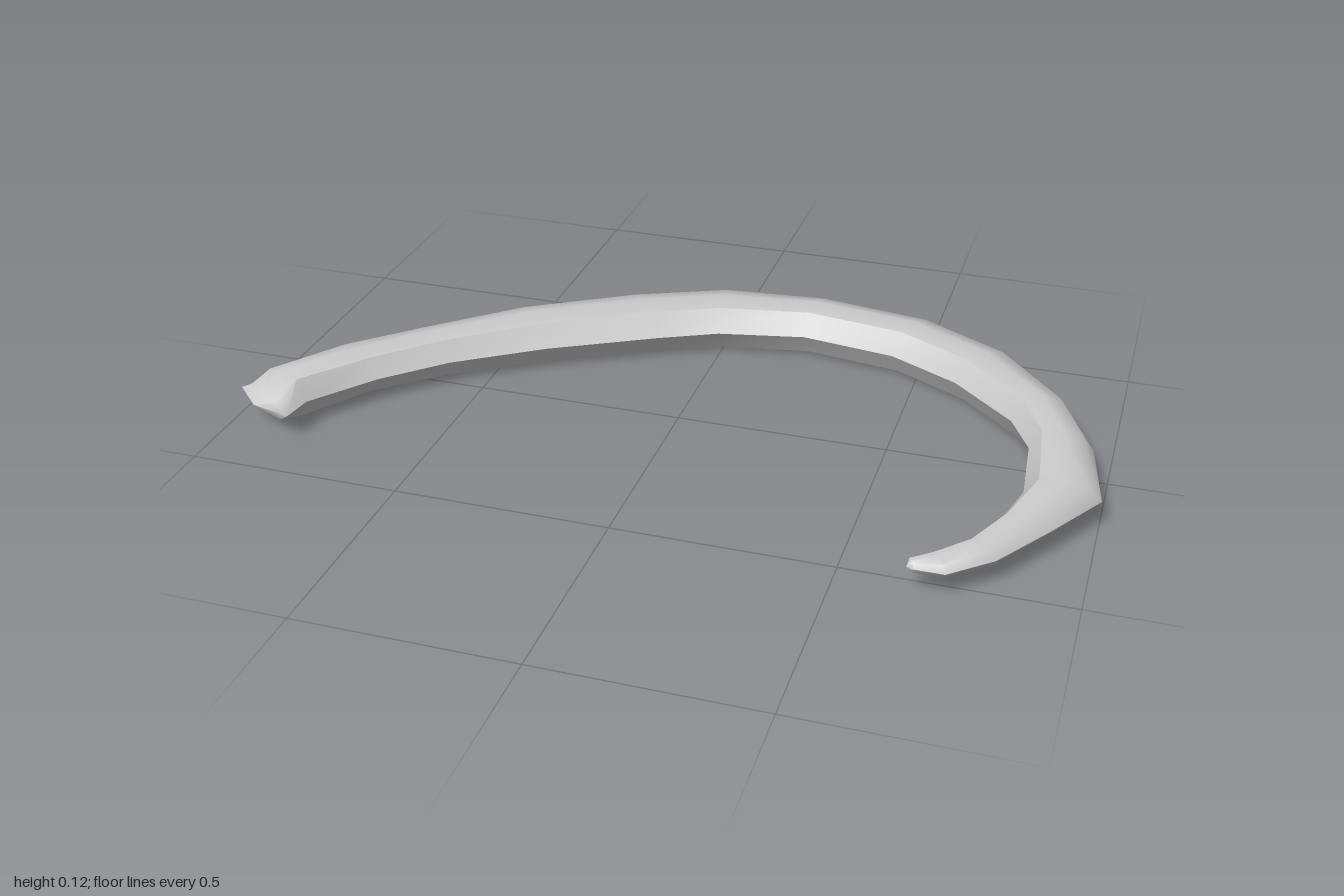
import * as THREE from 'three';
import { toCreasedNormals } from 'three/addons/utils/BufferGeometryUtils.js';

const MID_Y = 0.065;

// Stations along the arc: outer edge x,z, inner edge x,z, half height
const STATIONS = [
  [-1.0, 0.27, -0.83, 0.365, 0.026],
  [-0.97, 0.22, -0.82, 0.29, 0.054],
  [-0.86, 0.04, -0.71, 0.14, 0.049],
  [-0.69, -0.115, -0.58, 0.01, 0.053],
  [-0.51, -0.275, -0.38, -0.13, 0.06],
  [-0.265, -0.43, -0.14, -0.265, 0.061],
  [-0.03, -0.535, 0.0, -0.335, 0.06],
  [0.23, -0.555, 0.21, -0.38, 0.06],
  [0.51, -0.51, 0.44, -0.345, 0.06],
  [0.73, -0.385, 0.61, -0.255, 0.06],
  [0.89, -0.19, 0.765, -0.11, 0.057],
  [0.96, -0.03, 0.82, 0.0, 0.05],
  [1.0, 0.18, 0.835, 0.19, 0.042],
  [0.91, 0.33, 0.8, 0.33, 0.034],
  [0.82, 0.47, 0.75, 0.435, 0.027],
  [0.73, 0.55, 0.69, 0.495, 0.022],
  [0.665, 0.55, 0.65, 0.525, 0.014],
];

// Cross-section: fraction from outer to inner edge, fraction of half height
const SECTION = [
  [0, 0], [0.2, 0.75], [0.5, 1], [0.82, 0.9],
  [1, 0], [0.82, -0.9], [0.5, -1], [0.2, -0.75],
];

function loft() {
  const n = SECTION.length;
  const last = STATIONS.length - 1;
  const pos = [];
  const idx = [];
  for (const [ox, oz, ix, iz, h] of STATIONS) {
    for (const [t, v] of SECTION) {
      pos.push(ox + (ix - ox) * t, MID_Y + v * h, oz + (iz - oz) * t);
    }
  }
  for (let i = 0; i < last; i++) {
    for (let k = 0; k < n; k++) {
      const k1 = (k + 1) % n;
      const a = i * n + k, b = a + n, c = i * n + k1, d = c + n;
      idx.push(a, c, b, c, d, b);
    }
  }
  // Bulging end caps
  const head = pos.length / 3;
  pos.push(-0.93, MID_Y, 0.34, 0.65, MID_Y, 0.545);
  for (let k = 0; k < n; k++) {
    const k1 = (k + 1) % n;
    idx.push(head, k1, k, head + 1, last * n + k, last * n + k1);
  }
  const geo = new THREE.BufferGeometry();
  geo.setAttribute('position', new THREE.Float32BufferAttribute(pos, 3));
  geo.setIndex(idx);
  return toCreasedNormals(geo, 0.75);
}

export function createModel() {
  const group = new THREE.Group();
  group.name = 'ribBone';
  const rib = new THREE.Mesh(loft(), new THREE.MeshStandardMaterial({ color: 0xcccccc }));
  rib.name = 'ribShaft';
  group.add(rib);
  return group;
}
